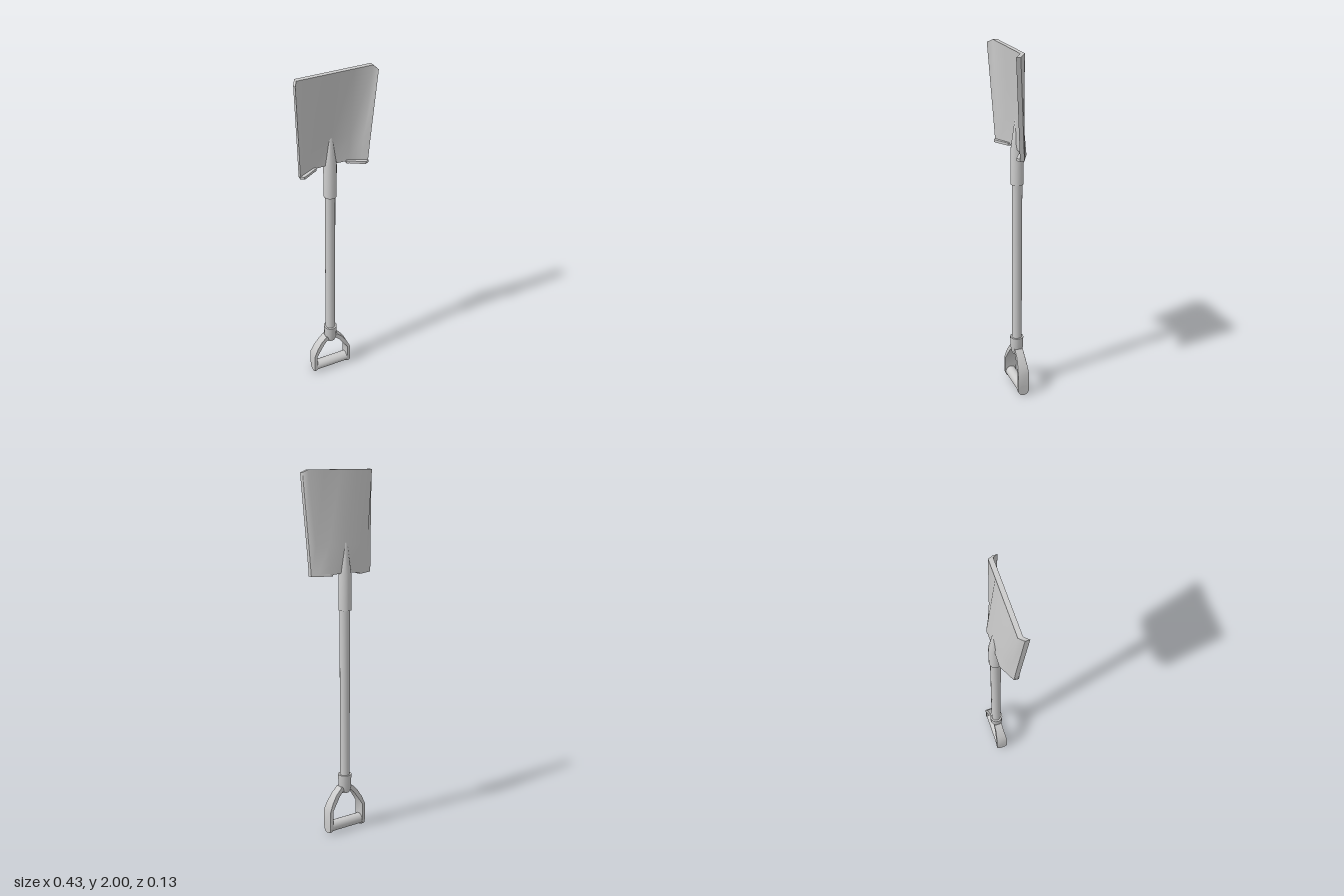
import * as THREE from 'three';
import { toCreasedNormals } from 'three/addons/utils/BufferGeometryUtils.js';

const AXIS_Z = -0.024; // depth of the shaft's axis

export function createModel() {
  const group = new THREE.Group();
  const material = new THREE.MeshStandardMaterial({ color: 0xcccccc });

  const add = (name, geometry, x = 0, y = 0, z = 0) => {
    const mesh = new THREE.Mesh(geometry, material);
    mesh.name = name;
    mesh.position.set(x, y, z);
    group.add(mesh);
    return mesh;
  };
  // Round part around the shaft axis from [radius, height] pairs
  const turned = (name, profile, sides = 16) => {
    const points = profile.map(([r, y]) => new THREE.Vector2(r, y));
    const geometry = new THREE.LatheGeometry(points, sides);
    add(name, toCreasedNormals(geometry, 0.6), 0, 0, AXIS_Z);
  };
  const shapeOf = (points) => new THREE.Shape(points.map(([x, y]) => new THREE.Vector2(x, y)));

  // Shaft, grip collar and the socket tapering into the blade
  turned('shaft', [[0, 0.3], [0.028, 0.3], [0.028, 1.3], [0, 1.3]]);
  turned('gripCollar', [[0, 0.225], [0.028, 0.225], [0.036, 0.26], [0.038, 0.33], [0, 0.33]]);
  turned('socket', [[0, 1.265], [0.035, 1.265], [0.035, 1.46], [0.013, 1.62], [0.008, 1.635], [0, 1.638]]);

  // Dished blade: half rows of [x, y, back z], bottom to top, mirrored over x
  const rows = [
    [[0, 1.467, -0.035], [0.1, 1.462, -0.037], [0.16, 1.46, -0.008], [0.19, 1.46, 0.008]],
    [[0, 1.61, -0.037], [0.1, 1.61, -0.023], [0.165, 1.61, 0.0], [0.197, 1.61, 0.017]],
    [[0, 2, 0.013], [0.1, 2, 0.013], [0.2, 2, 0.013], [0.217, 1.985, 0.04]],
  ];
  const blade = new THREE.BoxGeometry(6, 2, 1, 6, 2, 1);
  const p = blade.attributes.position;
  for (let i = 0; i < p.count; i++) {
    const column = Math.round(p.getX(i));
    const row = Math.round(p.getY(i)) + 1;
    const [x, y, z] = rows[row][Math.abs(column)];
    p.setXYZ(i, Math.sign(column) * x, y, z + (p.getZ(i) > 0 ? 0.024 : 0));
  }
  blade.computeVertexNormals();
  add('blade', blade);

  // Foot treads along the blade's lower edge
  const treadOutline = [
    [0.085, -0.037], [0.1, -0.037], [0.19, 0.008], [0.192, 0.034],
    [0.172, 0.044], [0.155, 0.036], [0.1, 0.003], [0.085, -0.003],
  ];
  for (const side of [1, -1]) {
    const tread = new THREE.ExtrudeGeometry(
      shapeOf(treadOutline.map(([x, z]) => [side * x, -z])),
      { depth: 0.014, bevelEnabled: false },
    );
    tread.rotateX(-Math.PI / 2);
    add(side > 0 ? 'leftTread' : 'rightTread', tread, 0, 1.455, 0);
  }

  // Forked yoke of the grip, narrower in depth towards the neck
  const half = [
    [0.1, 0.035], [0.118, 0.035], [0.118, 0.135], [0.098, 0.182], [0.07, 0.226], [0.036, 0.262],
  ];
  const inner = [[0.028, 0.236], [0.05, 0.212], [0.1, 0.135]];
  const flip = (list) => list.map(([x, y]) => [-x, y]).reverse();
  const yoke = new THREE.ExtrudeGeometry(
    shapeOf([...half, ...flip(half), ...flip(inner), ...[...inner]]),
    { depth: 0.066, bevelEnabled: false },
  );
  yoke.translate(0, 0, -0.033);
  const q = yoke.attributes.position;
  for (let i = 0; i < q.count; i++) {
    const t = THREE.MathUtils.smoothstep(q.getY(i), 0.135, 0.24);
    q.setZ(i, q.getZ(i) * (1 - 0.28 * t));
  }
  add('gripYoke', toCreasedNormals(yoke, 0.6), 0, 0, AXIS_Z);

  // Crossbar with rounded arm ends
  const bar = new THREE.CylinderGeometry(0.031, 0.031, 0.21, 20).rotateZ(Math.PI / 2);
  add('gripBar', bar, 0, 0.037, AXIS_Z);
  for (const side of [1, -1]) {
    const end = new THREE.CylinderGeometry(0.033, 0.033, 0.018, 20).rotateZ(Math.PI / 2);
    add(side > 0 ? 'leftArmEnd' : 'rightArmEnd', end, side * 0.109, 0.033, AXIS_Z);
  }
  return group;
}
